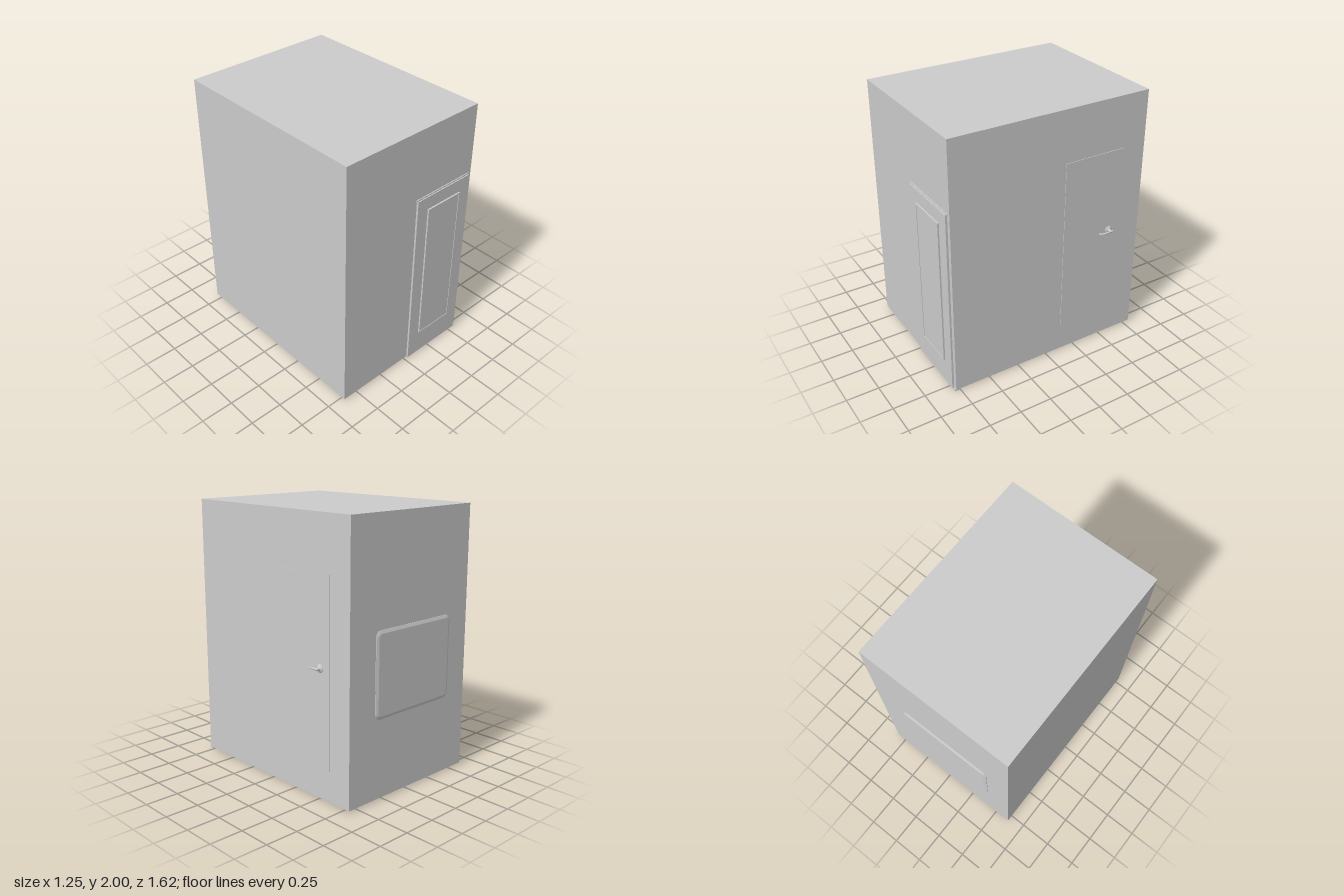
import * as THREE from 'three';

const grey = new THREE.MeshStandardMaterial({ color: 0xcccccc });

function add(group, name, geometry) {
  const mesh = new THREE.Mesh(geometry, grey);
  mesh.name = name;
  group.add(mesh);
  return mesh;
}

// Box given by its two opposite corners
function box(group, name, [x0, y0, z0], [x1, y1, z1]) {
  const mesh = add(group, name, new THREE.BoxGeometry(x1 - x0, y1 - y0, z1 - z0));
  mesh.position.set((x0 + x1) / 2, (y0 + y1) / 2, (z0 + z1) / 2);
  return mesh;
}

// Rectangle outline with rounded corners
function roundedRect(target, x0, y0, x1, y1, r) {
  target.moveTo(x0 + r, y0);
  target.lineTo(x1 - r, y0);
  target.absarc(x1 - r, y0 + r, r, -Math.PI / 2, 0);
  target.lineTo(x1, y1 - r);
  target.absarc(x1 - r, y1 - r, r, 0, Math.PI / 2);
  target.lineTo(x0 + r, y1);
  target.absarc(x0 + r, y1 - r, r, Math.PI / 2, Math.PI);
  target.lineTo(x0, y0 + r);
  target.absarc(x0 + r, y0 + r, r, Math.PI, Math.PI * 1.5);
  return target;
}

// Rectangular ring extruded along z
function ring(x0, y0, x1, y1, w, depth) {
  const shape = roundedRect(new THREE.Shape(), x0, y0, x1, y1, 0.001);
  shape.holes.push(roundedRect(new THREE.Path(), x0 + w, y0 + w, x1 - w, y1 - w, 0.001));
  return new THREE.ExtrudeGeometry(shape, { depth, bevelEnabled: false, curveSegments: 1 });
}

function createLeverHandle() {
  const handle = new THREE.Group();
  handle.name = 'leverHandle';

  // Round rose and spindle, turned about the x axis
  const profile = [[0, 0], [0.03, 0], [0.03, 0.005], [0.024, 0.009], [0.013, 0.012],
    [0.01, 0.02], [0.01, 0.038], [0, 0.038]].map(([r, h]) => new THREE.Vector2(r, h));
  const rose = add(handle, 'roseAndSpindle', new THREE.LatheGeometry(profile, 24));
  rose.rotation.z = -Math.PI / 2;

  // Lever curving back towards the door
  const path = new THREE.CatmullRomCurve3([
    new THREE.Vector3(0.04, 0.002, -0.011),
    new THREE.Vector3(0.041, 0.002, 0.02),
    new THREE.Vector3(0.039, 0, 0.05),
    new THREE.Vector3(0.031, -0.003, 0.075),
    new THREE.Vector3(0.017, -0.005, 0.09),
  ]);
  const lever = add(handle, 'lever', new THREE.TubeGeometry(path, 20, 0.0065, 10));
  lever.name = 'lever';
  for (const t of [0, 1]) {
    const tip = add(handle, 'leverTip', new THREE.SphereGeometry(0.0065, 10, 8));
    tip.position.copy(path.getPoint(t));
  }
  return handle;
}

export function createModel() {
  const model = new THREE.Group();
  model.name = 'booth';

  // Main cabin and the shallow rim under it
  box(model, 'cabin', [-0.625, 0.022, -0.8], [0.577, 2, 0.785]);
  const rim = add(model, 'baseRim', ring(-0.625, -0.785, 0.577, 0.8, 0.018, 0.012));
  rim.rotation.x = -Math.PI / 2;
  rim.position.y = 0.012;

  // Front door: backing frame, leaf and raised window
  const frontDoor = new THREE.Group();
  frontDoor.name = 'frontDoor';
  box(frontDoor, 'doorFrame', [0.018, 1.455, 0.78], [0.552, 1.467, 0.792]);
  box(frontDoor, 'doorLeaf', [0.025, 0.012, 0.78], [0.545, 1.457, 0.8]);
  const trim = add(frontDoor, 'windowTrim', ring(0.125, 0.21, 0.45, 1.355, 0.011, 0.016));
  trim.position.z = 0.796;
  box(frontDoor, 'windowPane', [0.13, 0.215, 0.795], [0.445, 1.35, 0.808]);
  box(frontDoor, 'hingeFoot', [0.54, 0, 0.76], [0.575, 0.016, 0.792]);
  model.add(frontDoor);

  // Side door with its lever
  box(model, 'sideDoor', [0.56, 0.24, -0.61], [0.581, 1.6, -0.12]);
  const handle = createLeverHandle();
  handle.position.set(0.579, 0.957, -0.522);
  model.add(handle);

  // Rear window with rounded corners and a sloping edge
  const b = 0.022;
  const outline = roundedRect(new THREE.Shape(), -0.335 + b, 0.595 + b, 0.43 - b, 1.22 - b, 0.025);
  const rear = add(model, 'rearWindow', new THREE.ExtrudeGeometry(outline, {
    depth: 0.004, bevelSize: b, bevelThickness: 0.008, bevelSegments: 1, curveSegments: 8,
  }));
  rear.rotation.y = Math.PI;
  rear.position.z = -0.8;

  return model;
}
